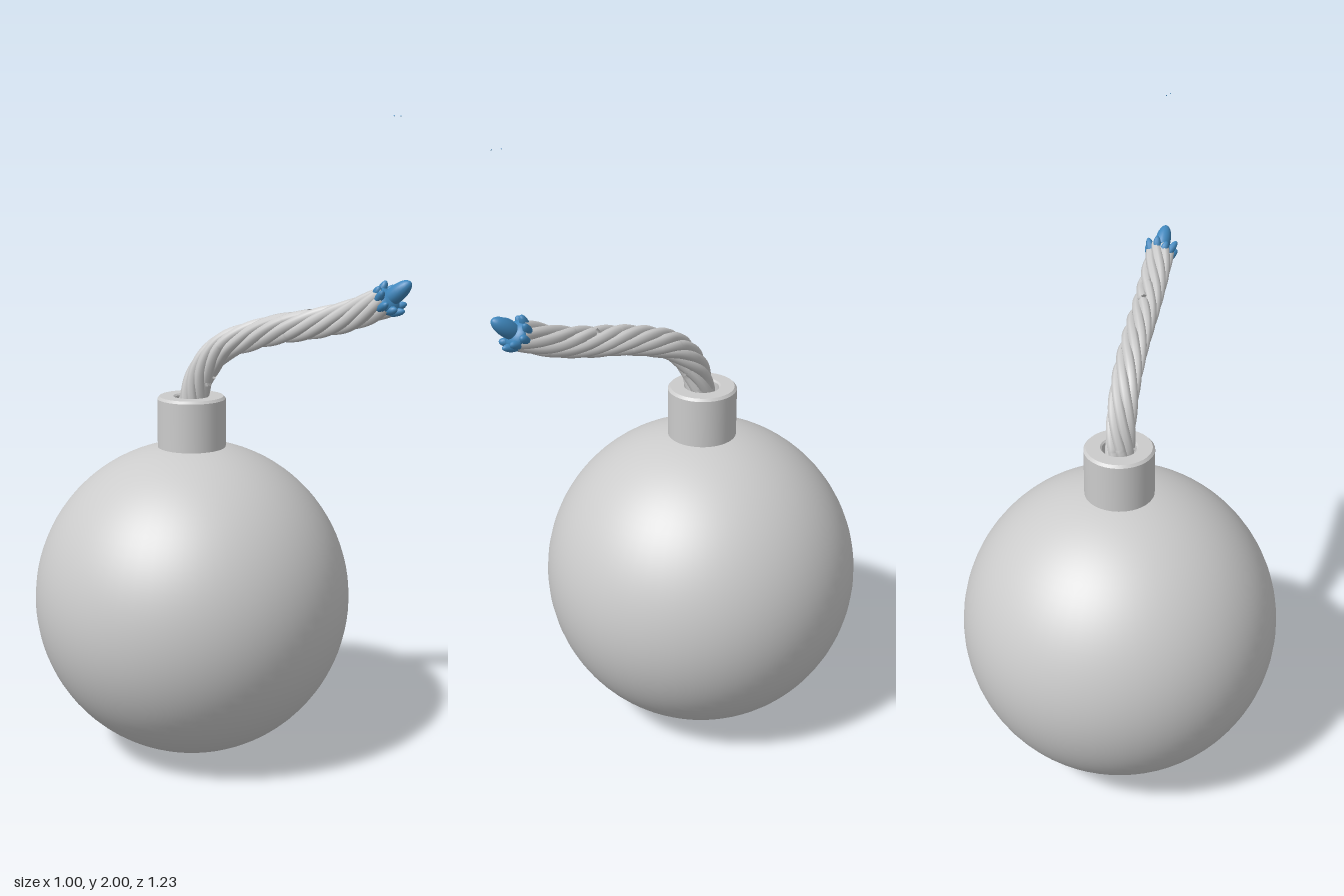
import * as THREE from 'three';

const grey = new THREE.MeshStandardMaterial({ color: 0xcccccc });
const blue = new THREE.MeshStandardMaterial({ color: 0x3f87bd });
const AXIS_Z = -0.113;
const STRANDS = 7;
const TURNS = 1.6;

function add(parent, name, geometry, material) {
  const mesh = new THREE.Mesh(geometry, material);
  mesh.name = name;
  parent.add(mesh);
  return mesh;
}

// One strand winding around the rope's centre line
class StrandCurve extends THREE.Curve {
  constructor(path, frames, steps, phase, radius) {
    super();
    Object.assign(this, { path, frames, steps, phase, radius });
  }
  getPoint(t, target = new THREE.Vector3()) {
    const i = Math.round(t * this.steps);
    const a = this.phase - t * TURNS * Math.PI * 2;
    return target.copy(this.path.getPointAt(t))
      .addScaledVector(this.frames.normals[i], Math.cos(a) * this.radius)
      .addScaledVector(this.frames.binormals[i], Math.sin(a) * this.radius);
  }
  getPointAt(t, target) { return this.getPoint(t, target); }
}

export function createModel() {
  const model = new THREE.Group();
  model.name = 'roundBomb';

  // Ball body
  add(model, 'body', new THREE.SphereGeometry(0.502, 64, 48), grey)
    .position.set(0, 0.504, AXIS_Z);

  // Collar with small bevels and a hole for the fuse; repeated points keep edges sharp
  const profile = [
    [0.107, 0.94], [0.107, 1.147], [0.107, 1.147], [0.1, 1.155], [0.1, 1.155],
    [0.057, 1.155], [0.057, 1.155], [0.052, 1.15], [0.052, 1.15],
    [0.052, 1.04], [0.052, 1.04], [0, 1.04],
  ].map(([r, y]) => new THREE.Vector2(r, y));
  add(model, 'collar', new THREE.LatheGeometry(profile, 48), grey).position.z = AXIS_Z;

  // Twisted rope fuse
  const path = new THREE.CatmullRomCurve3([
    [0, 1.04, -0.113], [0, 1.155, -0.103], [0.004, 1.24, -0.07], [0.01, 1.315, 0],
    [0.018, 1.355, 0.09], [0.025, 1.385, 0.19], [0.033, 1.41, 0.31],
    [0.042, 1.443, 0.43], [0.049, 1.492, 0.545],
  ].map((p) => new THREE.Vector3(...p)));
  const steps = 160;
  const frames = path.computeFrenetFrames(steps, false);
  const fuse = new THREE.Group();
  fuse.name = 'fuse';
  model.add(fuse);
  add(fuse, 'fuseCore', new THREE.TubeGeometry(path, 60, 0.028, 10), grey);
  for (let i = 0; i < STRANDS; i++) {
    const strand = new StrandCurve(path, frames, steps, (i / STRANDS) * Math.PI * 2, 0.0295);
    add(fuse, 'fuseStrand', new THREE.TubeGeometry(strand, steps, 0.0165, 8), grey);
  }

  // Burning tip: a pointed bud in a ring of frayed knobs
  const tip = new THREE.Group();
  tip.name = 'burningTip';
  const end = path.getPointAt(1);
  tip.position.copy(end);
  tip.quaternion.setFromUnitVectors(
    new THREE.Vector3(0, 1, 0), new THREE.Vector3(0, 0.62, 0.78).normalize());
  model.add(tip);
  const bud = add(tip, 'tipBud', new THREE.SphereGeometry(1, 20, 14), blue);
  bud.scale.set(0.025, 0.058, 0.025);
  bud.position.y = 0.034;
  const base = add(tip, 'tipBase', new THREE.SphereGeometry(1, 20, 12), blue);
  base.scale.set(0.042, 0.024, 0.042);
  for (let i = 0; i < 9; i++) {
    const a = (i / 9) * Math.PI * 2;
    const knob = add(tip, 'frayedKnob', new THREE.SphereGeometry(1, 10, 8), blue);
    knob.scale.set(0.013, 0.024 + 0.005 * (i % 3), 0.013);
    knob.position.set(Math.cos(a) * 0.037, -0.006 + 0.007 * (i % 2), Math.sin(a) * 0.037);
    knob.rotation.set(Math.sin(a) * 0.5, 0, -Math.cos(a) * 0.5);
  }

  // Tiny sparks floating above the tip
  for (const [x, y, z] of [[0.033, 1.997, 0.58], [0.04, 1.998, 0.555]]) {
    add(model, 'spark', new THREE.OctahedronGeometry(0.002), blue).position.set(x, y, z);
  }
  return model;
}
